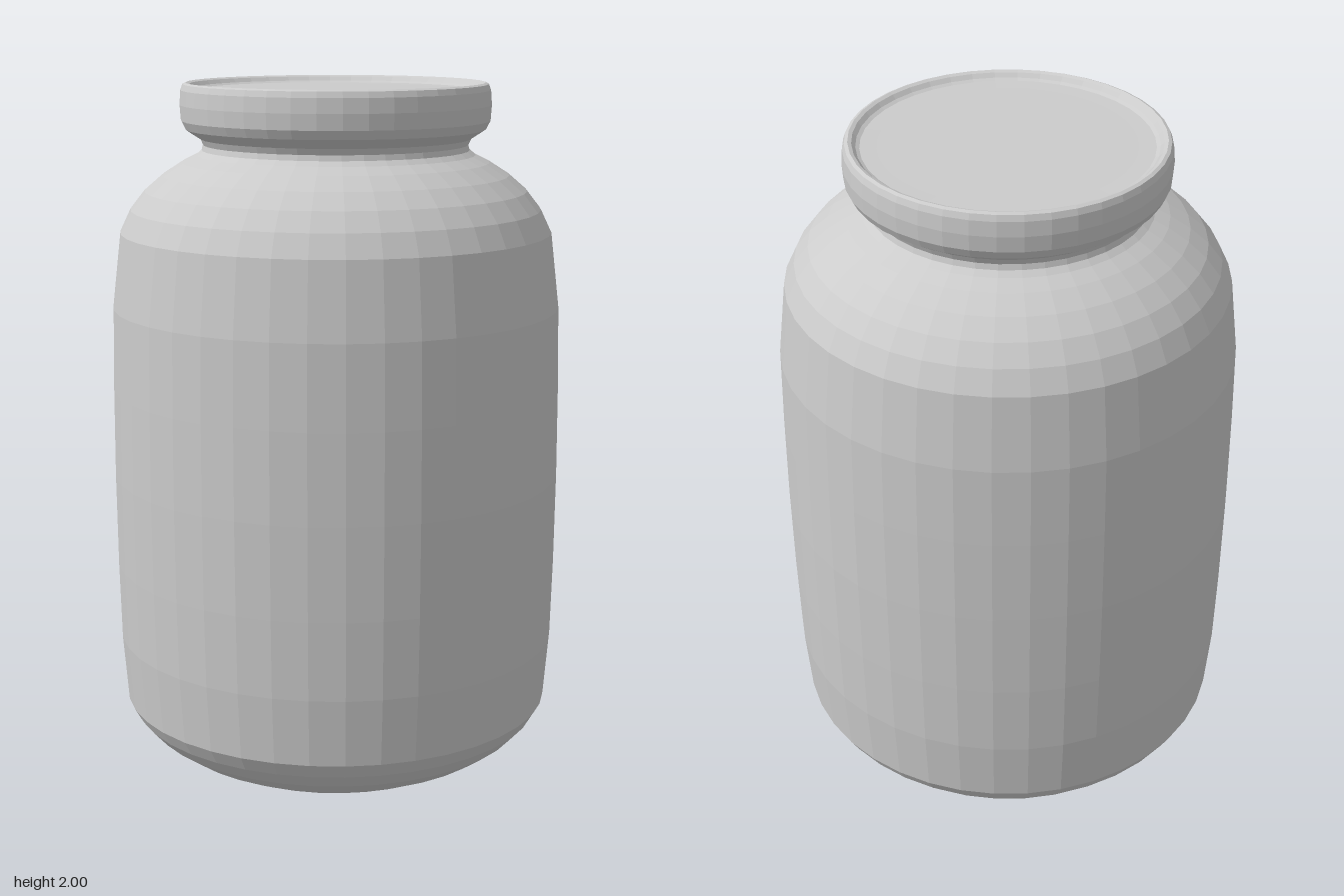
import * as THREE from 'three';

const SIDES = 40;

export function createModel() {
  const group = new THREE.Group();
  group.name = 'jar';
  const material = new THREE.MeshStandardMaterial({ color: 0xcccccc, flatShading: true });

  // Spins a profile of [radius, height] pairs, listed from bottom to top
  const turned = (name, profile) => {
    const points = profile.map(([r, y]) => new THREE.Vector2(r, y));
    const mesh = new THREE.Mesh(new THREE.LatheGeometry(points, SIDES), material);
    mesh.name = name;
    group.add(mesh);
  };

  // Rounded base
  turned('base', [
    [0, 0], [0.14, 0.003], [0.24, 0.014], [0.34, 0.037], [0.42, 0.065],
    [0.49, 0.1], [0.55, 0.143], [0.59, 0.187], [0.615, 0.23],
  ]);

  // Slightly bulging wall
  turned('body', [
    [0.615, 0.23], [0.63, 0.42], [0.635, 0.64], [0.637, 0.9],
    [0.635, 1.15], [0.63, 1.38], [0.605, 1.59],
  ]);

  // Shoulder curving in to the neck
  turned('shoulder', [
    [0.605, 1.59], [0.575, 1.653], [0.535, 1.704], [0.485, 1.747],
    [0.43, 1.782], [0.39, 1.802], [0.374, 1.815],
  ]);

  // Pinched neck
  turned('neck', [[0.374, 1.815], [0.37, 1.83], [0.378, 1.847], [0.395, 1.858]]);

  // Lid with a raised rim around a shallow recess
  turned('lid', [
    [0.395, 1.858], [0.418, 1.873], [0.43, 1.897], [0.433, 1.94],
    [0.43, 1.98], [0.424, 1.996], [0.415, 2], [0.405, 1.996],
    [0.395, 1.985], [0.385, 1.98], [0.34, 1.979], [0, 1.979],
  ]);

  return group;
}
